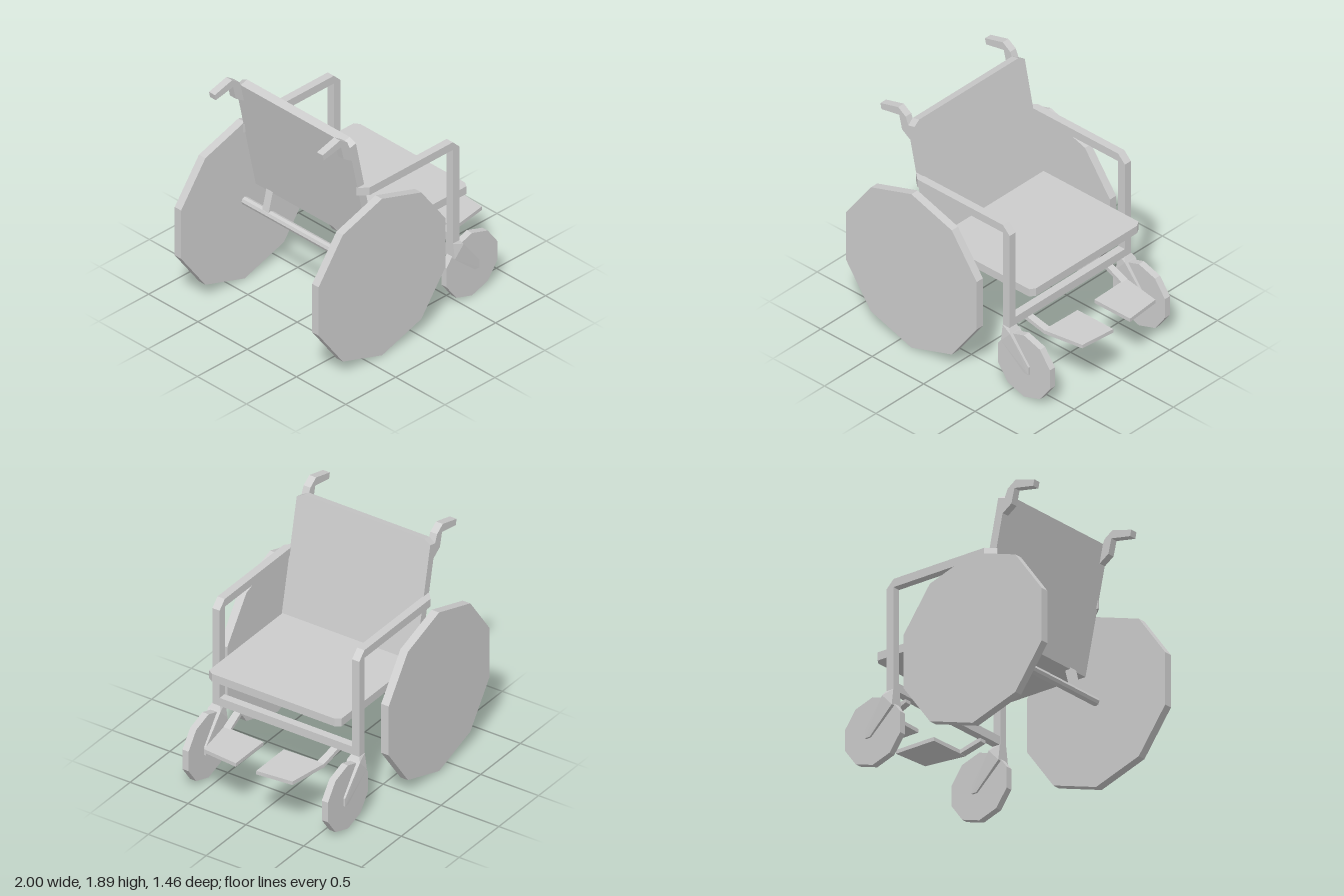
import * as THREE from 'three';
import { ConvexGeometry } from 'three/addons/geometries/ConvexGeometry.js';

const V = (x, y, z) => new THREE.Vector3(x, y, z);
const outline = (pts) => new THREE.Shape(pts.map(([x, y]) => new THREE.Vector2(x, y)));

// Side profile (x, y) extruded from z0 to z1
function sidePrism(pts, z0, z1) {
  const g = new THREE.ExtrudeGeometry(outline(pts), { depth: Math.abs(z1 - z0), bevelEnabled: false });
  return g.translate(0, 0, Math.min(z0, z1));
}

// Plan profile (x, z) extruded from y0 to y1
function planPrism(pts, y0, y1) {
  const g = new THREE.ExtrudeGeometry(outline(pts.map(([x, z]) => [x, -z])), { depth: y1 - y0, bevelEnabled: false });
  return g.rotateX(-Math.PI / 2).translate(0, y0, 0);
}

// Box between two corners
function block(x0, x1, y0, y1, z0, z1) {
  return new THREE.BoxGeometry(x1 - x0, y1 - y0, Math.abs(z1 - z0))
    .translate((x0 + x1) / 2, (y0 + y1) / 2, (z0 + z1) / 2);
}

// Cylinder lying along z
const disc = (r, length, sides, x, y, z) =>
  new THREE.CylinderGeometry(r, r, length, sides).rotateX(Math.PI / 2).translate(x, y, z);

export function createModel() {
  const model = new THREE.Group();
  const grey = new THREE.MeshStandardMaterial({ color: 0xcccccc, flatShading: true });
  grey.name = 'grey';
  const add = (name, geometry) => {
    const mesh = new THREE.Mesh(geometry, grey);
    mesh.name = name;
    model.add(mesh);
  };

  // Seat with clipped front corners
  add('seat', planPrism([[-0.3, -0.572], [0.63, -0.572], [0.657, -0.53],
    [0.657, 0.53], [0.63, 0.572], [-0.3, 0.572]], 0.84, 0.905));

  // Backrest: upright panel with clipped top corners, leaned backwards
  const back = new THREE.ExtrudeGeometry(outline([[-0.577, 0.84], [0.577, 0.84], [0.577, 1.79],
    [0.52, 1.822], [-0.52, 1.822], [-0.577, 1.79]]), { depth: 0.065, bevelEnabled: false });
  back.rotateY(Math.PI / 2);
  const p = back.attributes.position;
  for (let i = 0; i < p.count; i++) {
    const depth = p.getX(i), rise = p.getY(i) - 0.84;
    p.setX(i, depth - 0.345 - 0.212 * rise);
    p.setY(i, p.getY(i) - (1 - depth / 0.065) * 0.018 * rise);
  }
  back.computeVertexNormals();
  add('backrest', back);

  // Rear axle and front cross bar
  add('axle', disc(0.032, 1.36, 8, -0.37, 0.668, 0));
  add('crossBar', block(0.435, 0.497, 0.535, 0.602, -0.575, 0.575));

  for (const s of [1, -1]) {
    const side = s > 0 ? 'left' : 'right';

    // Wheels
    add(side + 'RearWheel', disc(0.668, 0.065, 10, -0.37, 0.668, s * 0.6975));
    add(side + 'Caster', disc(0.266, 0.053, 10, 0.63, 0.266, s * 0.602));

    // Armrest, angled in towards the backrest, and the front post
    add(side + 'Armrest', planPrism([[-0.47, s * 0.565], [-0.47, s * 0.575], [-0.4, s * 0.635],
      [0.432, s * 0.635], [0.432, s * 0.572], [-0.4, s * 0.572], [-0.4, s * 0.565]], 1.337, 1.402));
    add(side + 'Post', sidePrism([[0.432, 0.535], [0.497, 0.535], [0.497, 1.337], [0.432, 1.402]],
      s * 0.572, s * 0.635));

    // Caster fork: a stem that widens, then an arm down to the hub
    const ring = (a, b, half) => [a, b].flatMap(([x, y]) =>
      [V(x, y, s * 0.602 - half), V(x, y, s * 0.602 + half)]);
    const top = ring([0.432, 0.536], [0.499, 0.536], 0.036);
    const middle = ring([0.432, 0.41], [0.52, 0.505], 0.054);
    const hub = [...ring([0.645, 0.22], [0.688, 0.22], 0.042), ...ring([0.688, 0.22], [0.688, 0.285], 0.042)];
    add(side + 'ForkStem', new ConvexGeometry([...top, ...middle]));
    add(side + 'ForkArm', new ConvexGeometry([...middle, ...hub]));

    // Footrest arm and plate
    const armEnd = (x, y0, y1, z0, z1) =>
      [V(x, y0, s * z0), V(x, y1, s * z0), V(x, y0, s * z1), V(x, y1, s * z1)];
    add(side + 'FootrestArm', new ConvexGeometry([
      ...armEnd(0.47, 0.51, 0.545, 0.395, 0.45), ...armEnd(0.65, 0.455, 0.485, 0.375, 0.435)]));
    add(side + 'Footplate', planPrism([[0.64, s * 0.435], [0.97, s * 0.383], [0.998, s * 0.088],
      [0.65, s * 0.088]], 0.455, 0.485));

    // Strut between the axle and the seat
    add(side + 'Strut', sidePrism([[-0.395, 0.675], [-0.345, 0.675], [-0.3, 0.85], [-0.35, 0.85]],
      s * 0.4, s * 0.465));

    // Push handle
    add(side + 'Handle', sidePrism([[-0.813, 1.84], [-0.64, 1.887], [-0.568, 1.838], [-0.54, 1.77],
      [-0.515, 1.66], [-0.525, 1.66], [-0.603, 1.712], [-0.63, 1.825], [-0.803, 1.792]],
      s * 0.518, s * 0.577));
  }
  return model;
}
